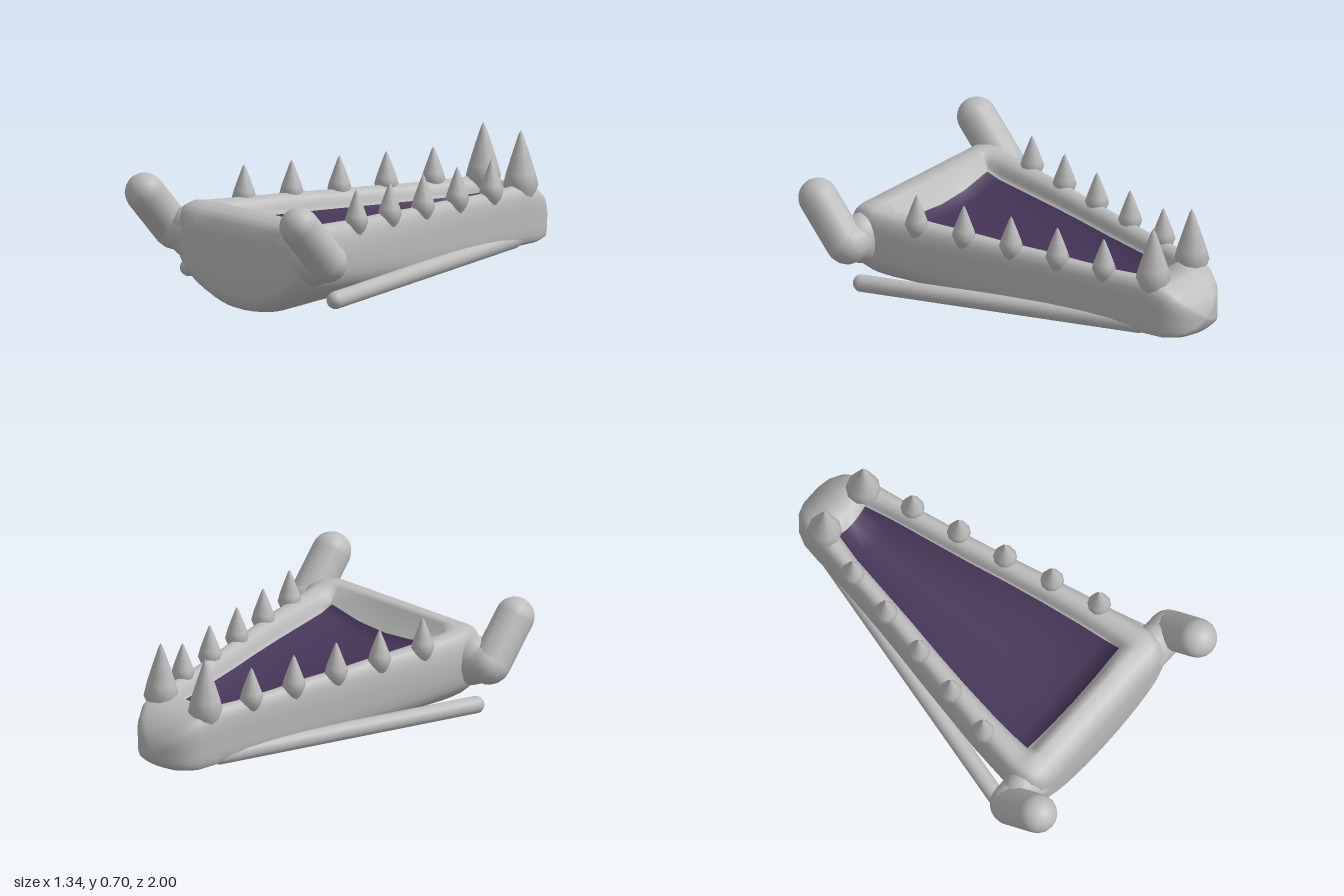
import * as THREE from 'three';

const bone = new THREE.MeshStandardMaterial({ color: 0xbcbcbc });
bone.name = 'boneGrey';
const lining = new THREE.MeshStandardMaterial({ color: 0x443456 });
lining.name = 'mouthPurple';

// Jaw stations: z, half width, top, bottom, cavity half width, cavity floor (0 = solid)
const stations = [
  [0.822, 0.4, 0.36, 0.08, 0.3, 0],
  [0.808, 0.45, 0.42, 0.035, 0.32, 0],
  [0.77, 0.485, 0.455, 0.008, 0.33, 0],
  [0.71, 0.495, 0.47, 0, 0.33, 0],
  [0.67, 0.495, 0.465, 0.006, 0.33, 0],
  [0.63, 0.49, 0.46, 0.01, 0.33, 0.39],
  [0.55, 0.477, 0.458, 0.02, 0.322, 0.375],
  [0.4, 0.45, 0.455, 0.035, 0.305, 0.37],
  [0.2, 0.405, 0.455, 0.058, 0.275, 0.37],
  [0, 0.36, 0.45, 0.08, 0.24, 0.37],
  [-0.2, 0.315, 0.45, 0.103, 0.2, 0.37],
  [-0.4, 0.275, 0.445, 0.125, 0.165, 0.37],
  [-0.6, 0.238, 0.445, 0.132, 0.13, 0.37],
  [-0.74, 0.214, 0.45, 0.135, 0.095, 0.38],
  [-0.77, 0.21, 0.45, 0.135, 0.09, 0],
  [-0.87, 0.192, 0.425, 0.14, 0.08, 0],
  [-0.93, 0.16, 0.38, 0.155, 0.07, 0],
  [-0.97, 0.115, 0.335, 0.175, 0.05, 0],
  [-0.992, 0.06, 0.29, 0.205, 0.03, 0],
  [-1, 0.01, 0.255, 0.24, 0.004, 0],
];

// Closed cross-section, anticlockwise from the bottom centre
function section([z, w, t, b, inner, floor]) {
  const h = t - b;
  const s = b + h * Math.max(0.15, 0.23 + 0.27 * z);
  const rim = w - inner;
  const edge = floor || t;
  const outline = [
    [0, b], [w * 0.25, b + (s - b) * 0.04], [w * 0.55, b + (s - b) * 0.25],
    [w * 0.82, b + (s - b) * 0.62], [w * 0.96, s], [w, s + (t - s) * 0.4],
    [w * 0.985, t - h * 0.16], [inner + rim * 0.78, t - h * 0.03],
    [inner + rim * 0.5, t], [inner + rim * 0.2, t - (floor ? 0.02 : 0)], [inner, edge],
  ].map(([x, y]) => new THREE.Vector3(x, y, z));
  const half = new THREE.CatmullRomCurve3(outline).getPoints(30);
  const dip = floor ? 0.05 : 0;
  half.push(new THREE.Vector3(inner * 0.5, edge - dip * 0.75, z), new THREE.Vector3(0, edge - dip, z));
  const mirrored = half.slice(1, -1).reverse().map(p => new THREE.Vector3(-p.x, p.y, z));
  return { ring: half.concat(mirrored), top: half.length - 1 };
}

function jawGeometry() {
  const sections = stations.map(section);
  const n = sections[0].ring.length;
  const top = sections[0].top;
  const points = sections.flatMap(s => s.ring);
  const grey = [], purple = [];
  for (let i = 0; i < stations.length - 1; i++) {
    for (let j = 0; j < n; j++) {
      const k = (j + 1) % n;
      const a = i * n + j, b = i * n + k, c = a + n, d = b + n;
      const inMouth = stations[i][5] && stations[i + 1][5] && j >= top - 2 && j <= top + 1;
      (inMouth ? purple : grey).push(a, c, b, b, c, d);
    }
  }
  // End caps
  const last = (stations.length - 1) * n;
  const front = points.push(new THREE.Vector3(0, 0.22, 0.826)) - 1;
  const back = points.push(new THREE.Vector3(0, 0.247, -1)) - 1;
  for (let j = 0; j < n; j++) {
    const k = (j + 1) % n;
    grey.push(front, j, k, back, last + k, last + j);
  }
  const geo = new THREE.BufferGeometry().setFromPoints(points);
  geo.setIndex(grey.concat(purple));
  geo.addGroup(0, grey.length, 0);
  geo.addGroup(grey.length, purple.length, 1);
  geo.computeVertexNormals();
  return geo;
}

function add(parent, name, geometry, material = bone) {
  const mesh = new THREE.Mesh(geometry, material);
  mesh.name = name;
  parent.add(mesh);
  return mesh;
}

// Round-ended rod between two points
function rod(parent, name, from, to, radius) {
  const a = new THREE.Vector3(...from), b = new THREE.Vector3(...to);
  const dir = b.clone().sub(a);
  const mesh = add(parent, name, new THREE.CapsuleGeometry(radius, dir.length(), 8, 16));
  mesh.position.copy(a).add(b).multiplyScalar(0.5);
  mesh.quaternion.setFromUnitVectors(new THREE.Vector3(0, 1, 0), dir.normalize());
}

// Pointed tooth with a narrowed root
function tooth(parent, name, x, z, base, tip, radius) {
  const h = tip - base;
  const profile = [[0.45, -0.15], [0.75, 0], [1, 0.18], [0.85, 0.35], [0.48, 0.66], [0.14, 0.93], [0, 1]]
    .map(([r, y]) => new THREE.Vector2(r * radius, y * h));
  add(parent, name, new THREE.LatheGeometry(profile, 10)).position.set(x, base, z);
}

export function createModel() {
  const model = new THREE.Group();
  model.name = 'lowerJaw';
  add(model, 'jawBody', jawGeometry(), [bone, lining]);

  for (const side of [1, -1]) {
    const label = side > 0 ? 'left' : 'right';

    // Row of small teeth and one large fang
    const row = [[0.42, 0.43], [0.367, 0.185], [0.313, -0.06], [0.265, -0.305], [0.217, -0.55]];
    row.forEach(([x, z], i) => tooth(model, `${label}Tooth${i + 1}`, side * x, z, 0.415, 0.605, 0.057));
    tooth(model, `${label}Fang`, side * 0.14, -0.79, 0.39, 0.705, 0.083);

    // Hinge knob with a root that flares into the jaw
    const hinge = new THREE.Group();
    hinge.name = `${label}Hinge`;
    model.add(hinge);
    rod(hinge, 'hingeArm', [side * 0.578, 0.502, 0.903], [side * 0.578, 0.315, 0.735], 0.094);
    rod(hinge, 'hingeRoot', [side * 0.57, 0.312, 0.73], [side * 0.4, 0.305, 0.725], 0.098);
    const flare = add(hinge, 'hingeFlare', new THREE.SphereGeometry(1, 24, 16));
    flare.position.set(side * 0.46, 0.31, 0.722);
    flare.scale.set(0.13, 0.125, 0.098);

    // Bar along the lower side, sinking into the jaw towards the tip
    rod(model, `${label}SideBar`, [side * 0.548, 0.12, 0.66], [side * 0.17, 0.195, -0.72], 0.042);
  }
  return model;
}
